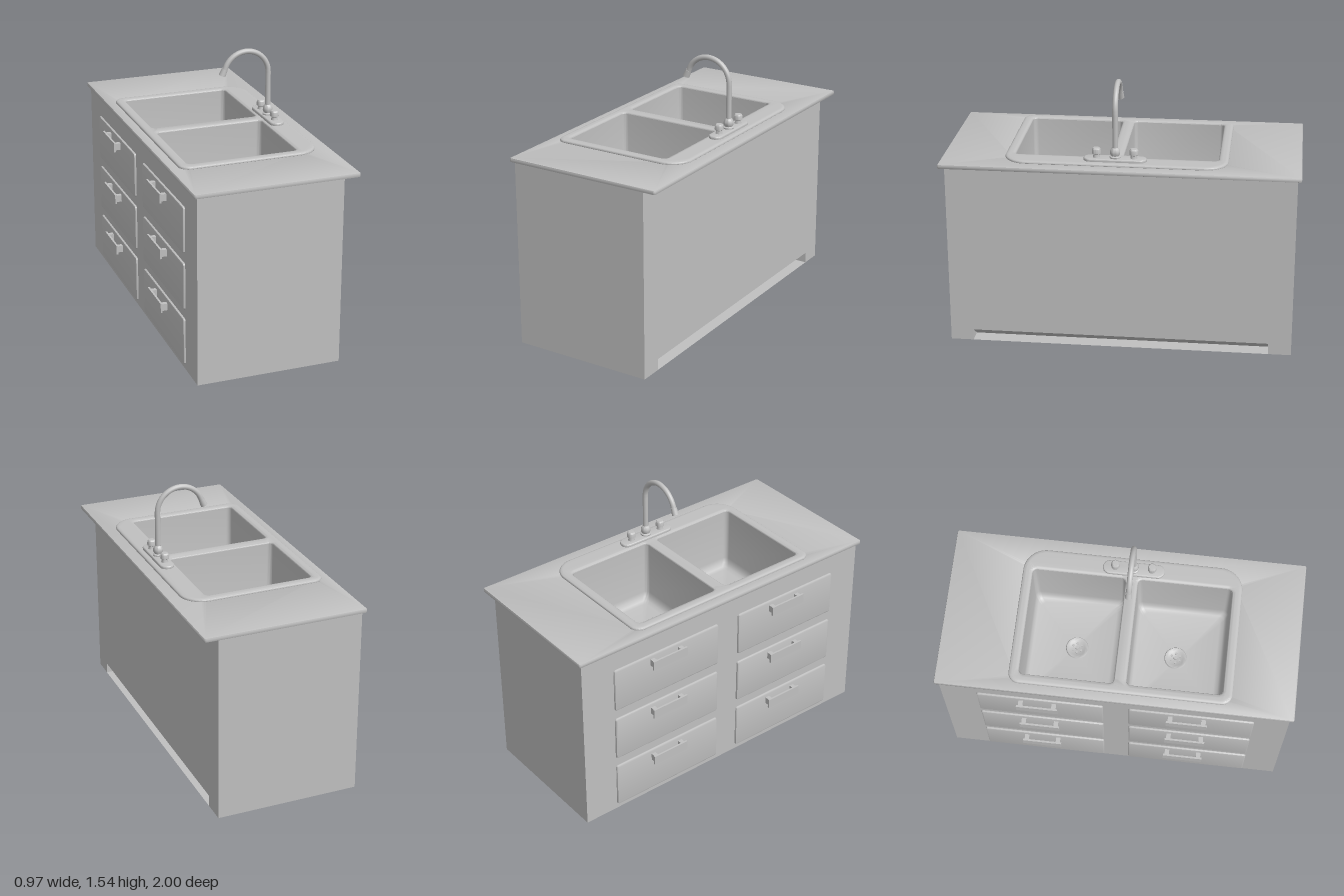
import * as THREE from 'three';
import { toCreasedNormals } from 'three/addons/utils/BufferGeometryUtils.js';

export function createModel() {
  const model = new THREE.Group();
  const grey = new THREE.MeshStandardMaterial({ color: 0xc0c0c0, side: THREE.DoubleSide });
  grey.name = 'plain grey';

  function add(name, geometry, x = 0, y = 0, z = 0, parent = model) {
    const mesh = new THREE.Mesh(geometry, grey);
    mesh.name = name;
    mesh.position.set(x, y, z);
    parent.add(mesh);
    return mesh;
  }

  // Rounded rectangle; rl and rr are the corner radii on the low and high x sides
  function roundRect(x0, x1, y0, y1, rl, rr = rl, Type = THREE.Shape) {
    const s = new Type();
    s.moveTo(x0 + rl, y0);
    s.lineTo(x1 - rr, y0);
    s.absarc(x1 - rr, y0 + rr, rr, -Math.PI / 2, 0);
    s.lineTo(x1, y1 - rr);
    s.absarc(x1 - rr, y1 - rr, rr, 0, Math.PI / 2);
    s.lineTo(x0 + rl, y1);
    s.absarc(x0 + rl, y1 - rl, rl, Math.PI / 2, Math.PI);
    s.lineTo(x0, y0 + rl);
    s.absarc(x0 + rl, y0 + rl, rl, Math.PI, Math.PI * 1.5);
    return s;
  }

  // Horizontal slab from a plan shape (shape y is -z)
  function slab(shape, depth, bevelThickness, bevelSize, bevelSegments = 3) {
    const g = new THREE.ExtrudeGeometry(shape, {
      depth, bevelThickness, bevelSize, bevelSegments, curveSegments: 10,
    });
    g.rotateX(-Math.PI / 2);
    return toCreasedNormals(g, 0.7);
  }

  // Cabinet: open-topped box whose +x side is a notched panel
  const W = 0.825, H = 1.08, D = 1.96, right = 0.395;
  const body = new THREE.BoxGeometry(W, H, D);
  body.setIndex([...body.index.array].filter((_, i) => i >= 6 && !(i >= 12 && i < 18)));
  body.clearGroups();
  add('cabinetBody', body, right - W / 2, H / 2, 0);

  const kickH = 0.065, kickZ = 0.85;
  const panel = new THREE.Shape([
    [-D / 2, 0], [-kickZ, 0], [-kickZ, kickH], [kickZ, kickH],
    [kickZ, 0], [D / 2, 0], [D / 2, H], [-D / 2, H],
  ].map(([a, b]) => new THREE.Vector2(a, b)));
  add('cabinetBackPanel', new THREE.ShapeGeometry(panel).rotateY(Math.PI / 2), right, 0, 0);

  // Sloped toe recess: inner faces of a wedge, without its open side
  const wedge = new THREE.Shape([
    new THREE.Vector2(0, kickH), new THREE.Vector2(-0.09, 0), new THREE.Vector2(0, 0),
  ]);
  const recess = new THREE.ExtrudeGeometry(wedge, { depth: 2 * kickZ, bevelEnabled: false });
  const p = recess.attributes.position, kept = [];
  for (let i = 0; i < p.count; i += 3) {
    const tri = [i, i + 2, i + 1];
    if (tri.some((j) => p.getX(j) < -0.01)) {
      tri.forEach((j) => kept.push(new THREE.Vector3().fromBufferAttribute(p, j)));
    }
  }
  const recessGeo = new THREE.BufferGeometry().setFromPoints(kept);
  recessGeo.computeVertexNormals();
  add('toeRecess', recessGeo, right, 0.001, -kickZ);

  // Worktop with an opening for the sink
  const top = roundRect(-0.444, 0.474, -0.994, 0.994, 0.004);
  top.holes.push(roundRect(-0.37, 0.31, -0.62, 0.565, 0.03, 0.03, THREE.Path));
  add('worktop', slab(top, 0.013, 0.006, 0.006, 2), 0, 1.086, 0);

  // Sink rim with two openings
  const basins = [[-0.54, -0.01], [0.06, 0.595]];
  const bx0 = -0.345, bx1 = 0.285;
  const rim = roundRect(-0.38, 0.39, -0.63, 0.575, 0.04, 0.11);
  for (const [z0, z1] of basins) {
    rim.holes.push(roundRect(bx0 - 0.02, bx1 + 0.02, -z1 - 0.02, -z0 + 0.02, 0.045, 0.045, THREE.Path));
  }
  add('sinkRim', slab(rim, 0.004, 0.01, 0.02, 4), 0, 1.106, 0);

  // One level of a basin: a rounded rectangle with seven points per corner
  function basinLoop(x0, x1, z0, z1, y) {
    const r = 0.028, points = [];
    const corners = [[x1 - r, z1 - r], [x0 + r, z1 - r], [x0 + r, z0 + r], [x1 - r, z0 + r]];
    corners.forEach(([cx, cz], k) => {
      for (let i = 0; i <= 6; i++) {
        const a = (k + i / 6) * Math.PI / 2;
        points.push(new THREE.Vector3(cx + r * Math.cos(a), y, cz + r * Math.sin(a)));
      }
    });
    return points;
  }

  // Basin: loft of loops [inset, height], closed at the floor centre
  const floorY = 0.735;
  function basinGeometry(z0, z1) {
    const rows = [[0, 1.108], [0.002, 0.79], [0.008, 0.76], [0.022, 0.742], [0.045, floorY]];
    const loops = rows.map(([i, y]) => basinLoop(bx0 + i, bx1 - i, z0 + i, z1 - i, y));
    const centre = new THREE.Vector3((bx0 + bx1) / 2, floorY, (z0 + z1) / 2);
    const tris = [];
    loops.forEach((a, row) => {
      const b = loops[row + 1];
      for (let i = 0; i < a.length; i++) {
        const j = (i + 1) % a.length;
        if (b) tris.push(a[i], a[j], b[i], a[j], b[j], b[i]);
        else tris.push(a[i], a[j], centre);
      }
    });
    // Face the inside of the bowl
    for (let i = 0; i < tris.length; i += 3) [tris[i], tris[i + 1]] = [tris[i + 1], tris[i]];
    return toCreasedNormals(new THREE.BufferGeometry().setFromPoints(tris), 0.8);
  }

  const lathe = (pts, seg = 24) => toCreasedNormals(
    new THREE.LatheGeometry(pts.map(([r, y]) => new THREE.Vector2(r, y)), seg), 0.7);

  // Basins and strainer drains
  for (const [z0, z1] of basins) {
    add('basin', basinGeometry(z0, z1));
    const drain = new THREE.Group();
    drain.name = 'drain';
    drain.position.set(-0.025, floorY, z0 < 0 ? -0.26 : 0.315);
    model.add(drain);
    add('drainRing', lathe([[0.066, 0], [0.062, 0.007], [0.052, 0.007], [0.044, 0.001], [0, 0.001]].reverse()), 0, 0, 0, drain);
    add('drainKnob', lathe([[0.012, 0], [0.01, 0.012], [0, 0.014]], 12), 0, 0, 0, drain);
    for (let i = 0; i < 6; i++) {
      const a = (i * Math.PI) / 3;
      add('drainStud', new THREE.CylinderGeometry(0.007, 0.007, 0.006, 8),
        0.028 * Math.cos(a), 0.003, 0.028 * Math.sin(a), drain);
    }
  }

  // Tap: base plate, body, spout, nozzle and two knobs
  const tapX = 0.34, tapZ = 0.028;
  add('tapBase', slab(roundRect(-0.034, 0.034, -0.169, 0.169, 0.0335), 0.012, 0.006, 0.006), tapX, 1.118, tapZ);
  add('tapBody', lathe([[0.03, 1.13], [0.03, 1.143], [0.022, 1.148], [0.028, 1.16], [0.028, 1.175],
    [0.022, 1.188], [0.016, 1.195]]), tapX, 0, tapZ);

  const path = new THREE.CurvePath();
  const cx = 0.205, cy = 1.39, r = 0.135;
  path.add(new THREE.LineCurve3(new THREE.Vector3(tapX, 1.14, tapZ), new THREE.Vector3(tapX, cy, tapZ)));
  const arc = [];
  for (let i = 0; i <= 16; i++) {
    const a = (i / 16) * Math.PI * 0.9;
    arc.push(new THREE.Vector3(cx + r * Math.cos(a), cy + r * Math.sin(a), tapZ));
  }
  path.add(new THREE.CatmullRomCurve3(arc));
  add('tapSpout', new THREE.TubeGeometry(path, 60, 0.0155, 14));
  const end = arc[16];
  const nozzle = add('tapNozzle', new THREE.CylinderGeometry(0.017, 0.02, 0.04, 16), end.x - 0.009, end.y - 0.018, tapZ);
  nozzle.rotation.z = -0.4;

  for (const s of [-1, 1]) {
    add('tapKnob', lathe([[0.022, 1.13], [0.018, 1.142], [0.017, 1.153], [0.025, 1.158], [0.024, 1.183],
      [0.018, 1.19], [0, 1.191]], 16), tapX, 0, tapZ + s * 0.104);
  }

  // Drawers with bar handles on the -x side
  const drawerZ = [[-0.775, -0.06, -0.43], [0.085, 0.79, 0.415]];
  const drawerY = [[0.03, 0.305, 0.258], [0.36, 0.632, 0.585], [0.69, 0.957, 0.912]];
  for (const [z0, z1, hz] of drawerZ) {
    for (const [y0, y1, hy] of drawerY) {
      const front = new THREE.ExtrudeGeometry(roundRect(z0 + 0.01, z1 - 0.01, y0 + 0.01, y1 - 0.01, 0.003), {
        depth: 0.002, bevelThickness: 0.01, bevelSize: 0.01, bevelSegments: 2, curveSegments: 3,
      });
      front.rotateY(-Math.PI / 2);
      add('drawerFront', toCreasedNormals(front, 0.5), -0.431, 0, 0);

      const handle = new THREE.Group();
      handle.name = 'drawerHandle';
      handle.position.set(0, hy, hz);
      model.add(handle);
      add('handleBar', new THREE.BoxGeometry(0.011, 0.056, 0.232), -0.48, 0, 0, handle);
      for (const s of [-1, 1]) {
        add('handlePost', new THREE.BoxGeometry(0.04, 0.04, 0.026), -0.457, 0, s * 0.094, handle);
      }
    }
  }

  return model;
}
